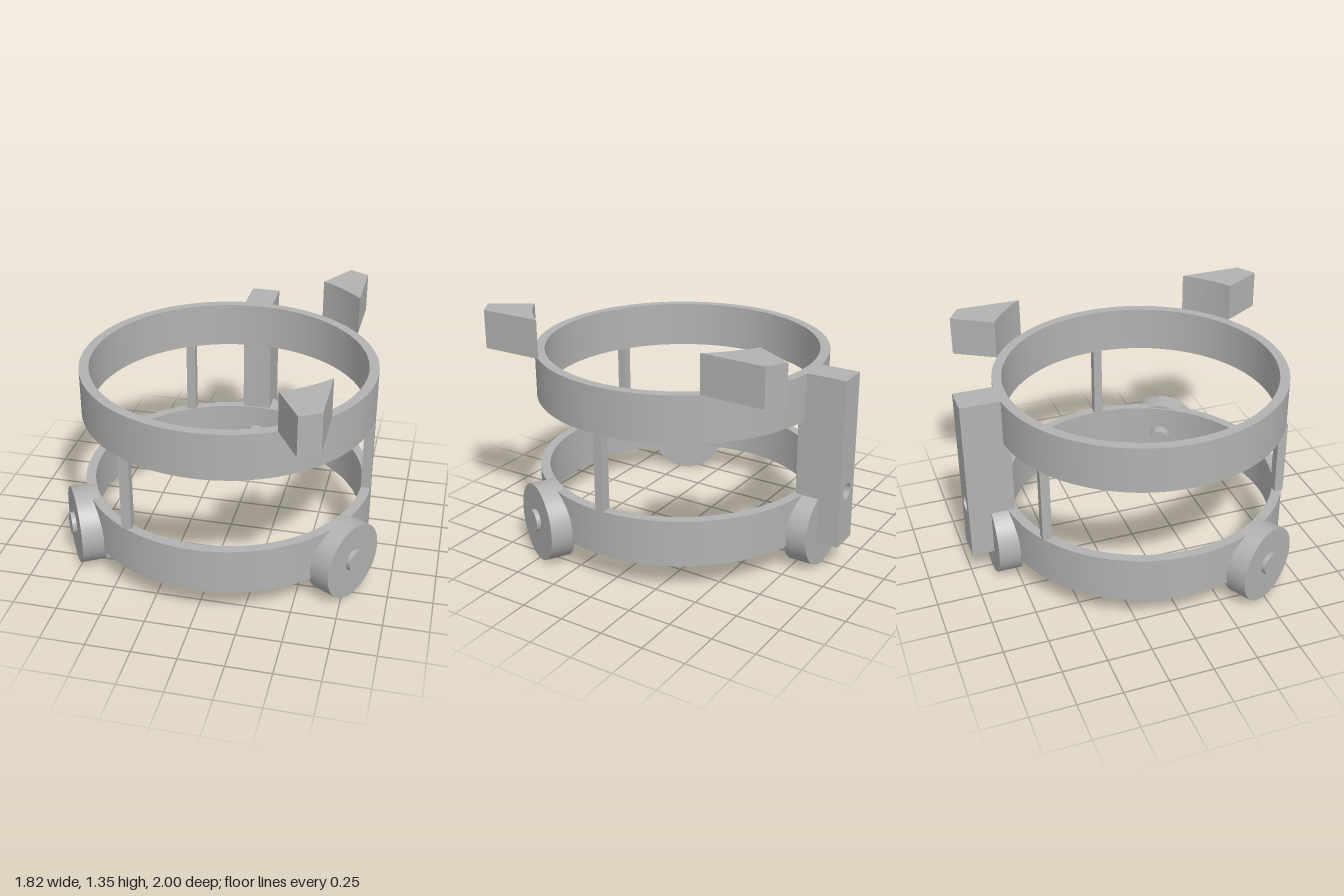
import * as THREE from 'three';
import { toCreasedNormals } from 'three/addons/utils/BufferGeometryUtils.js';

const OUTER = 0.83, INNER = 0.775, CENTRE_Z = 0.05;
const LOW = [0.16, 0.425], HIGH = [0.865, 1.13];

export function createModel() {
  const model = new THREE.Group();
  model.name = 'wheeledRingFrame';
  const grey = new THREE.MeshStandardMaterial({ color: 0xb2b2b2 });
  grey.name = 'grey';

  // Everything sits around the ring axis, slightly forward of the origin
  const frame = new THREE.Group();
  frame.name = 'frame';
  frame.position.z = CENTRE_Z;
  model.add(frame);

  function add(name, geometry, parent = frame) {
    const mesh = new THREE.Mesh(geometry, grey);
    mesh.name = name;
    parent.add(mesh);
    return mesh;
  }

  function box(name, x0, x1, y0, y1, z0, z1) {
    const mesh = add(name, new THREE.BoxGeometry(x1 - x0, y1 - y0, z1 - z0));
    mesh.position.set((x0 + x1) / 2, (y0 + y1) / 2, (z0 + z1) / 2);
    return mesh;
  }

  function extrude(shape, depth, curveSegments) {
    const g = new THREE.ExtrudeGeometry(shape, { depth, curveSegments, bevelEnabled: false });
    return toCreasedNormals(g, 0.6);
  }

  // Plan shapes have shape y = -z and are extruded upward
  function plan(name, shape, y0, y1, curveSegments) {
    const mesh = add(name, extrude(shape, y1 - y0, curveSegments));
    mesh.rotation.x = -Math.PI / 2;
    mesh.position.y = y0;
  }

  // Two flat rings
  const ring = new THREE.Shape().absarc(0, 0, OUTER, 0, Math.PI * 2, false);
  ring.holes.push(new THREE.Path().absarc(0, 0, INNER, 0, Math.PI * 2, true));
  plan('lowerRing', ring, ...LOW, 96);
  plan('upperRing', ring, ...HIGH, 96);

  // Three thin struts between the rings
  for (let i = 0; i < 3; i++) {
    const a = (i * Math.PI * 2) / 3;
    const x = 0.8025 * Math.cos(a), z = 0.8025 * Math.sin(a);
    box('strut', x - 0.0275, x + 0.0275, LOW[1], HIGH[0], z - 0.026, z + 0.026);
  }

  // Three wheels facing outward, each with an axle
  for (const angle of [Math.PI, Math.PI / 3, -Math.PI / 3]) {
    const group = new THREE.Group();
    group.name = 'wheelAssembly';
    group.rotation.y = angle;
    frame.add(group);
    const disc = (name, radius, y, from, to) => {
      const g = new THREE.CylinderGeometry(radius, radius, to - from, 64);
      const mesh = add(name, g.rotateX(Math.PI / 2), group);
      mesh.position.set(0, y, (from + to) / 2);
    };
    disc('wheel', 0.22, 0.22, 0.787, 0.923);
    disc('axle', 0.063, 0.232, 0.71, 0.948);
  }

  // Rear post with a blind round hole in its back face
  box('rearPostCore', -0.085, 0.085, LOW[0], HIGH[1], -0.95, -0.785);
  const back = new THREE.Shape([
    new THREE.Vector2(-0.085, LOW[0]), new THREE.Vector2(0.085, LOW[0]),
    new THREE.Vector2(0.085, HIGH[1]), new THREE.Vector2(-0.085, HIGH[1]),
  ]);
  back.holes.push(new THREE.Path().absarc(0, 0.47, 0.045, 0, Math.PI * 2, true));
  add('rearPostBack', extrude(back, 0.1, 24)).position.z = -1.05;

  // Two mirrored fins above the upper ring, hollowed to its outer curve
  for (const side of [1, -1]) {
    const a0 = Math.atan2(0.515, 0.652), a1 = Math.atan2(0.72, 0.412);
    const fin = new THREE.Shape();
    fin.moveTo(0.655, side * 0.88);
    fin.lineTo(0.545, side * 0.945);
    fin.lineTo(0.412, side * 0.72);
    fin.absarc(0, 0, OUTER, side * a1, side * a0, side > 0);
    fin.lineTo(0.655, side * 0.88);
    plan('fin', fin, HIGH[1], 1.35, 16);
  }

  return model;
}
